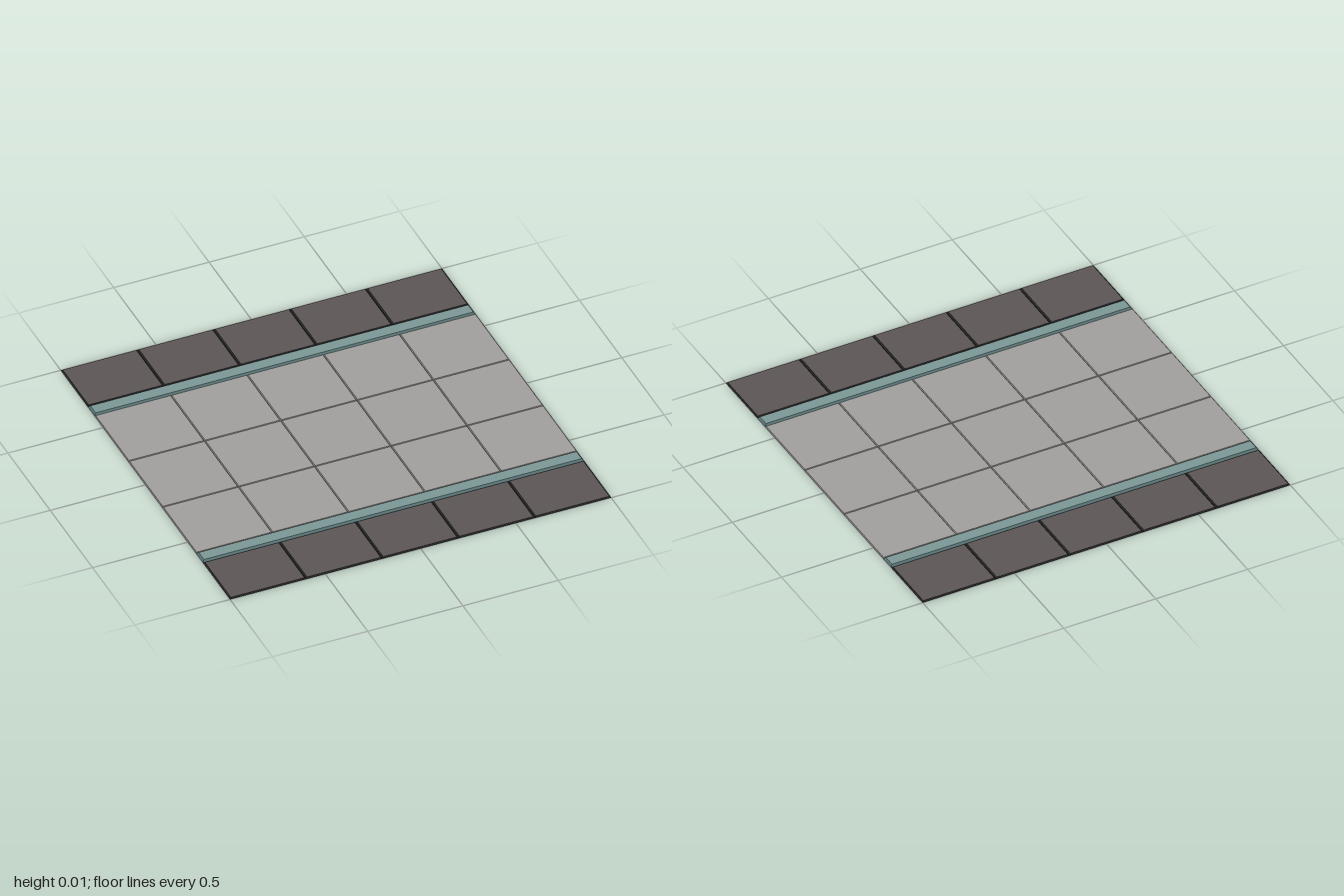
import * as THREE from 'three';

const paint = (name, color) =>
  new THREE.MeshStandardMaterial({ name, color, side: THREE.DoubleSide });

// Shallow open-bottomed slab standing on y = 0; its top edges slope inward by `bevel`
function slab(name, width, depth, height, bevel, top, rim) {
  const geometry = new THREE.BoxGeometry(width, height, depth).toNonIndexed();
  geometry.translate(0, height / 2, 0);
  const p = geometry.attributes.position;
  for (let i = 0; i < p.count; i++) {
    if (p.getY(i) > height / 2) {
      p.setX(i, p.getX(i) - Math.sign(p.getX(i)) * bevel);
      p.setZ(i, p.getZ(i) - Math.sign(p.getZ(i)) * bevel);
    }
  }
  geometry.computeVertexNormals();
  // Face order is +x, -x, top, bottom, +z, -z; the bottom is left out
  geometry.clearGroups();
  geometry.addGroup(0, 12, 1);
  geometry.addGroup(12, 6, 0);
  geometry.addGroup(24, 12, 1);
  const mesh = new THREE.Mesh(geometry, [top, rim]);
  mesh.name = name;
  return mesh;
}

export function createModel() {
  const model = new THREE.Group();
  model.name = 'floorPanel';

  const stone = paint('lightStone', 0xa09e9b);
  const stoneEdge = paint('stoneEdge', 0x858382);
  const dark = paint('darkStone', 0x5b5554);
  const darkEdge = paint('darkEdge', 0x222222);
  const teal = paint('tealTrim', 0x7b9695);
  const tealEdge = paint('tealEdge', 0x567173);

  const columns = 5, size = 0.4;
  const columnX = (i) => (i - (columns - 1) / 2) * size;

  // Central field of square tiles
  const field = new THREE.Group();
  field.name = 'centralTiles';
  for (let row = -1; row <= 1; row++) {
    for (let i = 0; i < columns; i++) {
      const tile = slab('floorTile', size, size, 0.005, 0.004, stone, stoneEdge);
      tile.position.set(columnX(i), 0, row * size);
      field.add(tile);
    }
  }
  model.add(field);

  // Raised trim strip and dark border slabs along both edges
  for (const side of [-1, 1]) {
    const border = new THREE.Group();
    border.name = side > 0 ? 'frontBorder' : 'backBorder';
    const strip = slab('trimStrip', 2, 0.08, 0.011, 0.009, teal, tealEdge);
    strip.position.z = side * 0.64;
    border.add(strip);
    for (let i = 0; i < columns; i++) {
      const block = slab('borderSlab', size, 0.32, 0.006, 0.007, dark, darkEdge);
      block.position.set(columnX(i), 0, side * 0.84);
      border.add(block);
    }
    model.add(border);
  }
  return model;
}
